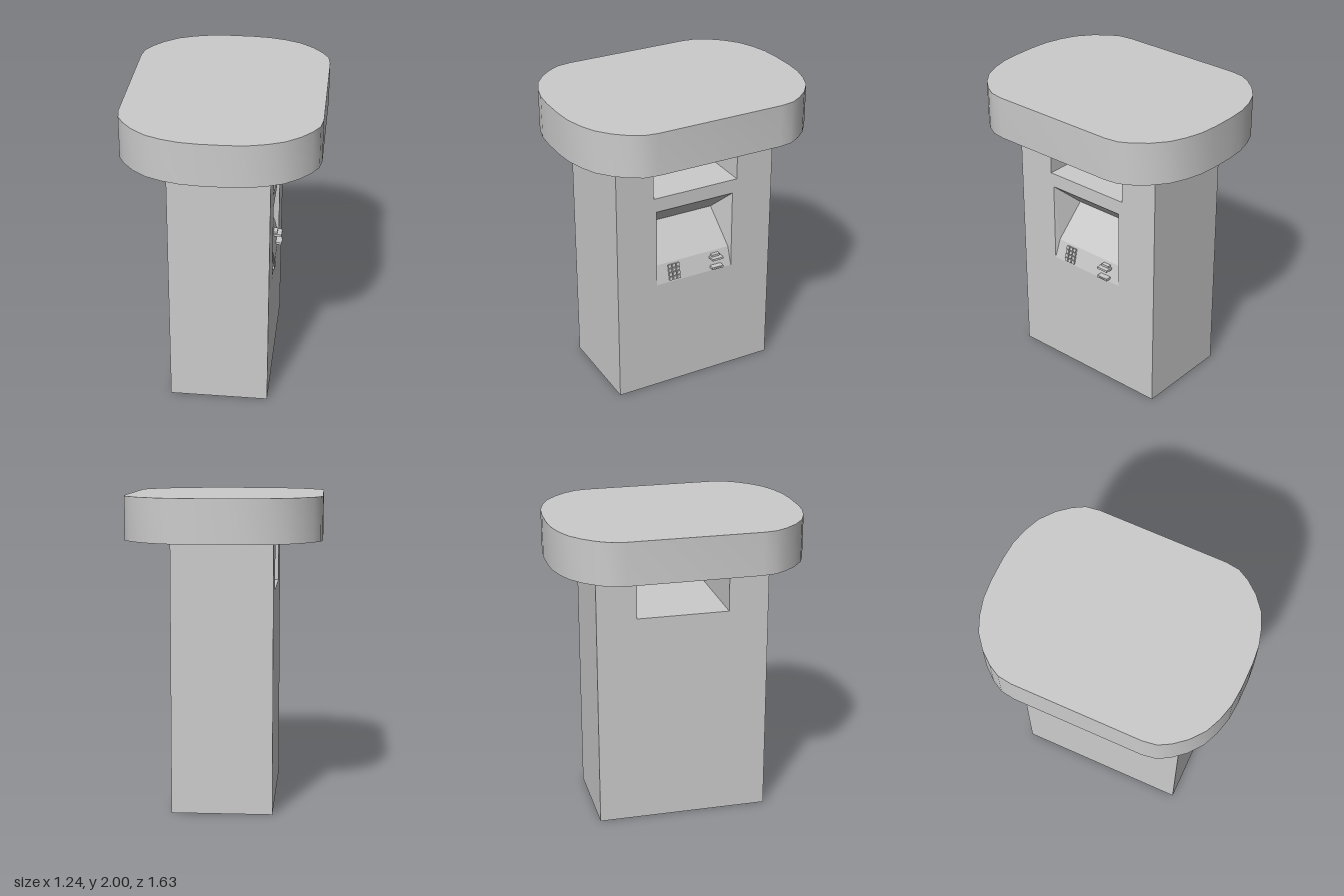
import * as THREE from 'three';
import { mergeVertices, toCreasedNormals } from 'three/addons/utils/BufferGeometryUtils.js';

const material = new THREE.MeshStandardMaterial({ color: 0xcccccc });
const HALF = 0.32; // half thickness of the body

function addMesh(parent, name, geometry, x = 0, y = 0, z = 0) {
  const mesh = new THREE.Mesh(geometry, material);
  mesh.name = name;
  mesh.position.set(x, y, z);
  parent.add(mesh);
  return mesh;
}

// Flat-shaded geometry from polygons, each a counter-clockwise list of [x, y, z]
function facesGeometry(polygons) {
  const positions = [];
  for (const p of polygons) {
    for (let i = 1; i < p.length - 1; i++) positions.push(...p[0], ...p[i], ...p[i + 1]);
  }
  const geometry = new THREE.BufferGeometry();
  geometry.setAttribute('position', new THREE.Float32BufferAttribute(positions, 3));
  geometry.computeVertexNormals();
  return geometry;
}

const shapeOf = (points) => new THREE.Shape(points.map(([x, y]) => new THREE.Vector2(x, y)));

function addBody(group) {
  const body = new THREE.Group();
  body.name = 'body';
  group.add(body);

  // Side outline (u = -z, y) with the notch below the top
  const outline = [[-0.56, 0], [0.56, 0], [0.56, 1.725], [0.3, 1.725],
    [0.3, 1.4], [-0.3, 1.4], [-0.3, 1.725], [-0.56, 1.725]];
  const plain = shapeOf(outline);
  const pierced = shapeOf(outline);
  pierced.holes.push(shapeOf([[-0.28, 0.77], [-0.28, 1.305], [0.27, 1.305], [0.27, 0.77]]));

  addMesh(body, 'recessedSide', new THREE.ShapeGeometry(pierced).rotateY(Math.PI / 2), HALF);
  addMesh(body, 'plainSide', new THREE.ShapeGeometry(plain).rotateY(-Math.PI / 2), -HALF);

  // Walls joining the two sides
  const walls = outline.map(([u, y], i) => {
    const [u2, y2] = outline[(i + 1) % outline.length];
    return [[HALF, y, -u], [-HALF, y, -u], [-HALF, y2, -u2], [HALF, y2, -u2]];
  });
  addMesh(body, 'bodyWalls', facesGeometry(walls));
}

function addRecess(group) {
  // Section from the top down: y, x, left z, right z
  const section = [[1.305, HALF, 0.28, -0.27], [1.145, 0.145, 0.21, -0.21],
    [0.9, 0.29, 0.265, -0.262], [0.77, HALF, 0.28, -0.27]];
  const left = section.map(([y, x, z]) => [x, y, z]);
  const right = section.map(([y, x, , z]) => [x, y, z]);
  ['recessCeiling', 'screen', 'controlPanel'].forEach((name, i) => {
    addMesh(group, name, facesGeometry([[left[i + 1], right[i + 1], right[i], left[i]]]));
  });
  const [a, b, c, d] = left;
  addMesh(group, 'recessLeftWall', facesGeometry([[a, d, c, b]]));
  addMesh(group, 'recessRightWall', facesGeometry([right]));
}

function addControls(group) {
  // Keypad, tilted with the control panel
  const keypad = new THREE.Group();
  keypad.name = 'keypad';
  keypad.position.set(0.305, 0.833, 0.15);
  keypad.rotation.z = Math.atan2(0.03, 0.13);
  group.add(keypad);
  const key = new THREE.BoxGeometry(0.022, 0.022, 0.022);
  for (let row = 0; row < 4; row++) {
    for (let col = 0; col < 3; col++) {
      addMesh(keypad, 'key', key, 0.002, (row - 1.5) * 0.028, (col - 1) * 0.029);
    }
  }

  // Upper and lower slots, each a wide tray with a narrow lip
  addMesh(group, 'upperSlotTray', new THREE.BoxGeometry(0.06, 0.014, 0.08), 0.32, 0.861, -0.155);
  addMesh(group, 'upperSlotLip', new THREE.BoxGeometry(0.03, 0.014, 0.056), 0.305, 0.875, -0.155);
  addMesh(group, 'lowerSlotTray', new THREE.BoxGeometry(0.04, 0.016, 0.08), 0.33, 0.797, -0.155);
  addMesh(group, 'lowerSlotLip', new THREE.BoxGeometry(0.04, 0.006, 0.056), 0.333, 0.797, -0.155);
}

function addCanopy(group) {
  // One quarter of the rounded outline (x, z), mirrored into a full loop
  const quarter = [[0.62, 0.42], [0.607, 0.51], [0.565, 0.585], [0.5, 0.663],
    [0.41, 0.735], [0.31, 0.778], [0.2, 0.807], [0.08, 0.817]];
  const flipped = [...quarter].reverse();
  const loop = [
    ...quarter,
    ...flipped.map(([x, z]) => [-x, z]),
    ...quarter.map(([x, z]) => [-x, -z]),
    ...flipped.map(([x, z]) => [x, -z]),
  ];
  const slab = new THREE.ExtrudeGeometry(shapeOf(loop), { depth: 0.275, bevelEnabled: false });
  slab.rotateX(-Math.PI / 2);
  slab.deleteAttribute('normal');
  slab.deleteAttribute('uv');
  addMesh(group, 'canopy', toCreasedNormals(mergeVertices(slab), 0.6), 0, 1.725, 0);
}

export function createModel() {
  const group = new THREE.Group();
  group.name = 'kiosk';
  addBody(group);
  addRecess(group);
  addControls(group);
  addCanopy(group);
  return group;
}
